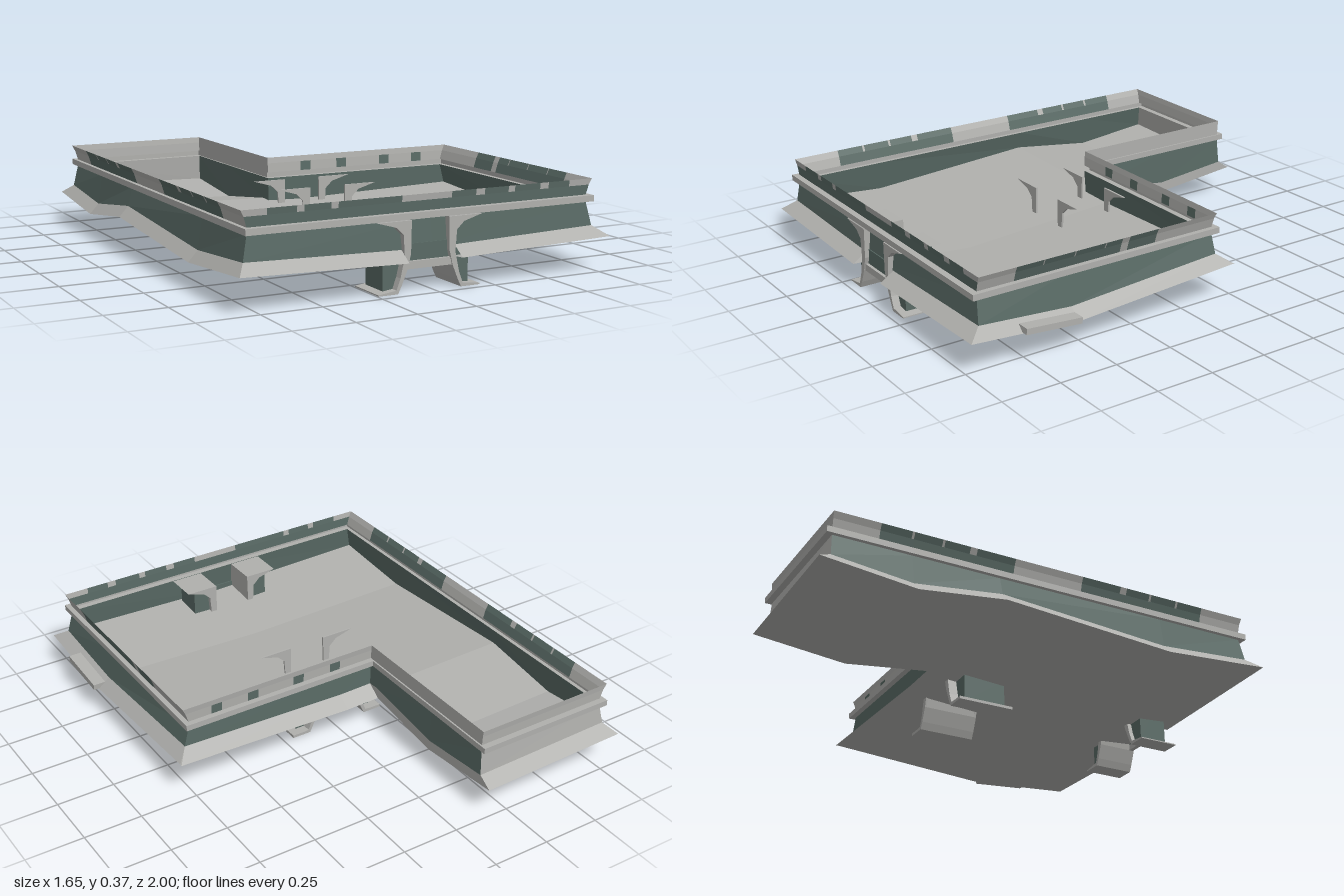
import * as THREE from 'three';

const light = new THREE.MeshStandardMaterial({ color: 0xb0b0ad, side: THREE.DoubleSide, flatShading: true });
light.name = 'pale grey';
const dark = new THREE.MeshStandardMaterial({ color: 0x596a65, side: THREE.DoubleSide, flatShading: true });
dark.name = 'slate green';

// Underside height: waves along z, rises gently toward both sides
const wave = [[-1, 0.125], [-0.6, 0.085], [-0.22, 0.135], [0.53, 0.085], [1, 0.12]];
function under(x, z) {
  let i = 0;
  while (i < wave.length - 2 && z > wave[i + 1][0]) i++;
  const [z0, y0] = wave[i], [z1, y1] = wave[i + 1];
  return y0 + (y1 - y0) * (z - z0) / (z1 - z0) + 0.026 * Math.abs(x);
}

// L-shaped outline at one level; edges: 0 front, 1 +x side, 2 inner back, 3 wing inner, 4 wing back, 5 -x side
const level = (xl, xr, zf, zb, xi, za, height) => ({
  corners: [[xl, zf], [xr, zf], [xr, zb], [xi, zb], [xi, za], [xl, za]], height,
});
const flat = (y) => () => y;
const lip = level(-0.83, 0.80, 1, -0.23, -0.155, -1, under);
const base = level(-0.79, 0.75, 0.94, -0.17, -0.155, -0.94, (x, z) => under(x, z) + 0.045);
const head = level(-0.77, 0.725, 0.93, -0.165, -0.16, -0.93, flat(0.28));
const sill = { ...head, height: flat(0.305) };
const mid = level(-0.782, 0.738, 0.932, -0.167, -0.16, -0.932, flat(0.345));
const rim = level(-0.795, 0.75, 0.935, -0.17, -0.16, -0.935, flat(0.37));
const bandLow = level(-0.787, 0.747, 0.957, -0.19, -0.153, -0.957, flat(0.28));
const bandTop = { ...bandLow, height: flat(0.305) };

function quads(list) {
  const pos = [];
  for (const [a, b, c, d] of list) pos.push(...a, ...b, ...c, ...a, ...c, ...d);
  const g = new THREE.BufferGeometry();
  g.setAttribute('position', new THREE.Float32BufferAttribute(pos, 3));
  g.computeVertexNormals();
  return g;
}

// Strip between two levels along one edge, from coordinate s to e
function strip(edge, low, high, s = null, e = null) {
  const axis = edge % 2;
  const at = (lv, v) => {
    const a = lv.corners[edge], b = lv.corners[(edge + 1) % 6];
    const t = THREE.MathUtils.clamp((v - a[axis]) / (b[axis] - a[axis]), 0, 1);
    const x = a[0] + (b[0] - a[0]) * t, z = a[1] + (b[1] - a[1]) * t;
    return [x, lv.height(x, z), z];
  };
  const dir = Math.sign(low.corners[(edge + 1) % 6][axis] - low.corners[edge][axis]);
  const from = s === null ? -2 * dir : s, to = e === null ? 2 * dir : e;
  const inner = (axis ? [-0.6, -0.22, 0.53] : [0]).filter((k) => (k - from) * dir > 0 && (to - k) * dir > 0);
  const stops = [from, ...inner.sort((p, q) => (p - q) * dir), to];
  const list = [];
  for (let i = 0; i < stops.length - 1; i++) {
    const q = [at(low, stops[i]), at(low, stops[i + 1]), at(high, stops[i + 1]), at(high, stops[i])];
    const len = (m, n) => Math.hypot(m[0] - n[0], m[1] - n[1], m[2] - n[2]);
    if (len(q[0], q[1]) + len(q[3], q[2]) > 1e-6) list.push(q);
  }
  return quads(list);
}

// Wavy L-shaped sheet filling a level
function deck(lv, lift, notch, up) {
  const [[xl, zf], [xr], [, zb], [xi], [, za]] = lv.corners;
  const xs = [xl, xi, -0.135, 0, 0.1, xr];
  const zs = [za, -0.6, zb, -0.22, 0.53, 0.955, zf].sort((a, b) => a - b).filter((z) => z <= zf);
  const list = [];
  for (let i = 0; i < xs.length - 1; i++) for (let j = 0; j < zs.length - 1; j++) {
    if (i > 0 && zs[j] < zb - 1e-6) continue;
    if (notch && (i === 2 || i === 3) && zs[j] > 0.95) continue;
    const p = (x, z) => [x, under(x, z) + lift, z];
    const q = [p(xs[i], zs[j + 1]), p(xs[i + 1], zs[j + 1]), p(xs[i + 1], zs[j]), p(xs[i], zs[j])];
    list.push(up ? q : q.reverse());
  }
  return quads(list);
}

// Profile in x,y extruded from z0 to z1
function slab(points, z0, z1) {
  const shape = new THREE.Shape(points.map(([x, y]) => new THREE.Vector2(x, y)));
  return new THREE.ExtrudeGeometry(shape, { depth: z1 - z0, bevelEnabled: false }).translate(0, 0, z0);
}

export function createModel() {
  const model = new THREE.Group();
  const add = (name, geometry, material, parent = model) => {
    const m = new THREE.Mesh(geometry, material);
    m.name = name;
    parent.add(m);
    return m;
  };

  // Hull and floor
  add('underside', deck(lip, 0, true, false), light);
  add('floor', deck(base, 0.045, false, true), light);

  // Sloping skirt, open at the front between the legs
  add('frontSkirtRight', strip(0, lip, base, -2, -0.135), light);
  add('frontSkirtLeft', strip(0, lip, base, 0.1, 2), light);
  for (let e = 1; e < 6; e++) add('skirt', strip(e, lip, base), light);
  add('entryPanel', new THREE.BoxGeometry(0.2, 0.07, 0.01).translate(-0.02, 0.15, 0.937), dark);
  add('entrySill', new THREE.BoxGeometry(0.2, 0.03, 0.02).translate(-0.02, 0.105, 0.945), light);

  // Walls and the ledge that runs round them
  for (let e = 0; e < 6; e++) {
    add('wall', strip(e, base, head), e === 4 ? light : dark);
    add('ledgeFace', strip(e, bandLow, bandTop), light);
    add('ledgeTop', strip(e, bandTop, sill), light);
    add('ledgeBottom', strip(e, head, bandLow), light);
  }

  // Parapet in two rows; pale panels are listed by interval, the rest is dark
  const pale = {
    0: [[], [[-2, -0.69], [-0.57, -0.54], [-0.43, -0.4], [-0.13, 0.09], [0.2, 0.24], [0.35, 0.38], [0.5, 0.54], [0.64, 2]]],
    1: [[[2, 0.77], [0.29, 0.255], [0.12, -2]], [[2, 0.77], [0.65, 0.645], [0.51, 0.505], [0.37, 0.365], [0.29, 0.255], [0.12, -2]]],
    2: [[[2, 0.62], [0.57, 0.45], [0.4, 0.23], [0.18, 0.05], [0, -2]], [[2, -2]]],
    3: [[[2, -2]], [[2, -2]]],
    4: [[[2, -2]], [[2, -2]]],
    5: [[[-2, -0.74], [-0.16, 0.15], [0.73, 2]], [[-2, -0.74], [-0.61, -0.6], [-0.48, -0.47], [-0.36, -0.33], [-0.16, 0.15], [0.33, 0.36], [0.47, 0.48], [0.6, 0.61], [0.73, 2]]],
  };
  const rows = [[sill, mid], [mid, rim]];
  for (let e = 0; e < 6; e++) rows.forEach(([low, high], r) => {
    const end = e === 0 || e === 5 ? 2 : -2;
    let last = -end;
    for (const [s, t] of pale[e][r]) {
      if (s !== last) add('parapetDarkPanel', strip(e, low, high, last, s), dark);
      add('parapetPalePanel', strip(e, low, high, s, t), light);
      last = t;
    }
    if (last !== end) add('parapetDarkPanel', strip(e, low, high, last, end), dark);
  });

  // Legs, drawn about the entry axis and mirrored
  const frame = [[-0.225, 0.005], [-0.225, 0], [-0.14, 0], [-0.125, 0.03], [-0.1, 0.09], [-0.085, 0.15], [-0.083, 0.278],
    [-0.23, 0.278], [-0.15, 0.255], [-0.118, 0.225], [-0.112, 0.14], [-0.13, 0.06], [-0.147, 0.015]];
  const shin = [[-0.225, 0.012], [-0.225, 0], [-0.14, 0], [-0.125, 0.03], [-0.1, 0.09], [-0.09, 0.14],
    [-0.112, 0.14], [-0.13, 0.06], [-0.147, 0.012]];
  const web = (top) => [[-0.19, 0.01], [-0.14, 0.01], [-0.125, 0.06], [-0.105, 0.13], [-0.105, top], [-0.19, top]];
  for (const side of [1, -1]) {
    const flip = (points) => points.map(([x, y]) => [-0.02 + side * x, y]);
    const front = new THREE.Group(), rear = new THREE.Group();
    front.name = 'frontLeg';
    rear.name = 'rearLeg';
    model.add(front, rear);
    add('frontLegFrame', slab(flip(frame), 0.78, 0.96), light, front);
    add('frontLegWeb', slab(flip(web(0.26)), 0.8, 0.928), dark, front);
    add('rearLegShin', slab(flip(shin), -0.12, 0.13), light, rear);
    add('rearLegWeb', slab(flip(web(0.14)), -0.08, 0.11), dark, rear);
    for (const z of [-0.12, 0.122]) add('rearLegBracket', slab(flip(frame), z, z + 0.008), light, rear);
  }

  // Step on the +x skirt
  const step = add('sideStep', new THREE.BoxGeometry(0.06, 0.025, 0.25), light);
  step.position.set(0.794, 0.13, 0.655);
  step.rotation.x = -0.08;
  return model;
}
